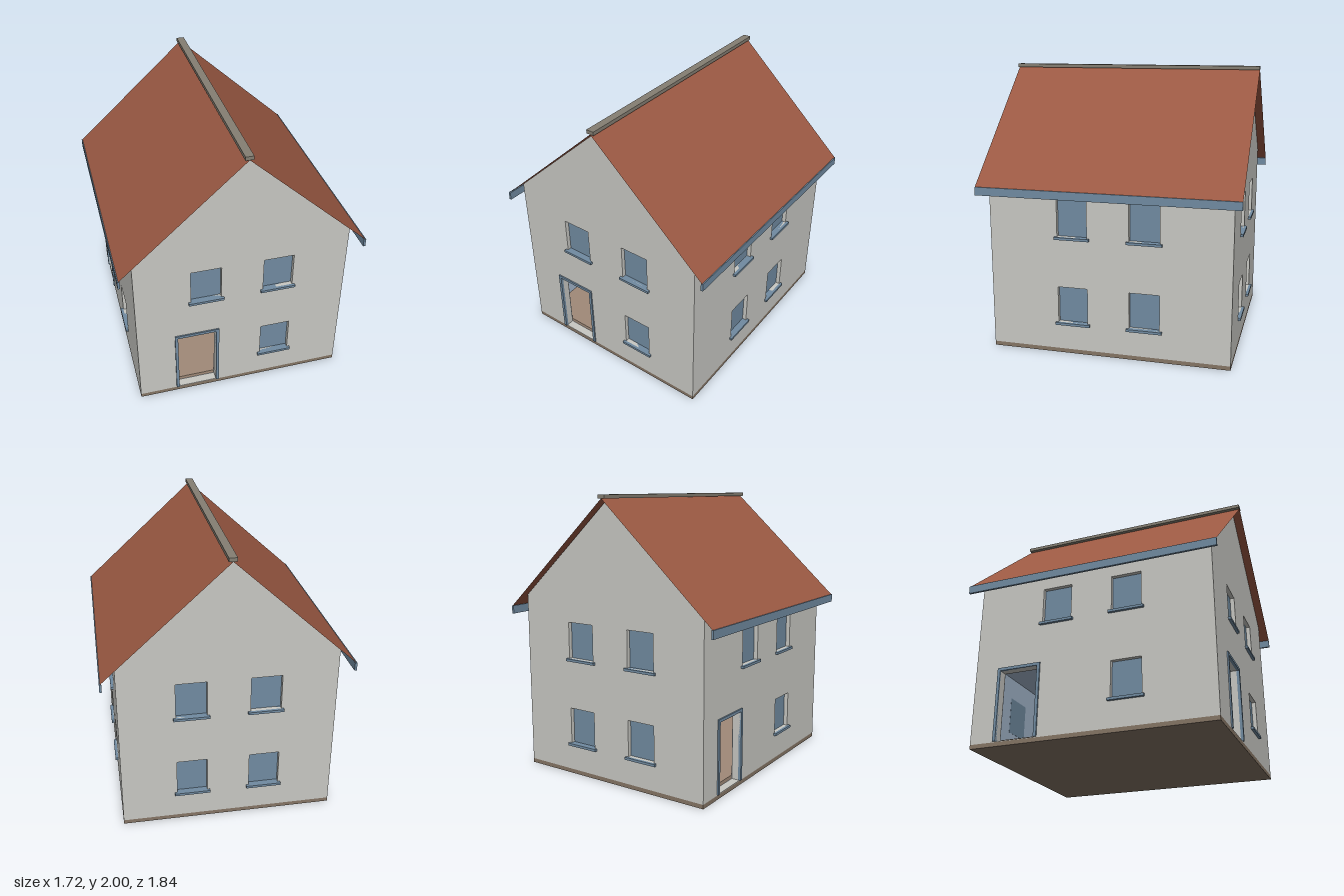
import * as THREE from 'three';

const mat = (name, color, side = THREE.FrontSide) => {
  const m = new THREE.MeshStandardMaterial({ color, side });
  m.name = name;
  return m;
};

const HALF_X = 0.755, HALF_Z = 0.86, BASE = 0.03, EAVE = 1.28, APEX = 1.965, WALL = 0.06;
const WIN = { w: 0.215, h: 0.26, rows: [0.23, 0.855] };
const DOOR = { w: 0.28, y0: 0.035, y1: 0.535 };

export function createModel() {
  const house = new THREE.Group();
  house.name = 'house';
  const plaster = mat('wall plaster', 0xc8c8c3);
  const lining = mat('interior paint', 0xa5b8ce, THREE.DoubleSide);
  const blue = mat('blue trim', 0x718ba1);
  const tile = mat('roof tile', 0x9b5943, THREE.DoubleSide);
  const ridgeMat = mat('ridge stone', 0x857f73);
  const brown = mat('base brown', 0x857565);
  const wood = mat('floor wood', 0xa08a78);

  const add = (parent, name, geo, m, x = 0, y = 0, z = 0) => {
    const mesh = new THREE.Mesh(geo, m);
    mesh.name = name;
    mesh.position.set(x, y, z);
    parent.add(mesh);
    return mesh;
  };
  // Box given by its limits on each axis
  const box = (parent, name, m, x0, x1, y0, y1, z0, z1) =>
    add(parent, name, new THREE.BoxGeometry(x1 - x0, y1 - y0, z1 - z0), m,
      (x0 + x1) / 2, (y0 + y1) / 2, (z0 + z1) / 2);
  const rectHole = (x0, x1, y0, y1) => new THREE.Path([
    [x0, y0], [x0, y1], [x1, y1], [x1, y0],
  ].map(p => new THREE.Vector2(...p)));

  // One wall facing local +z, with windows, sills and an optional door
  function wall(name, half, dist, angle, gable, windows, doorX) {
    const g = new THREE.Group();
    g.name = name;
    g.rotation.y = angle;
    house.add(g);
    const pts = [[-half, BASE], [half, BASE], [half, EAVE]];
    if (gable) pts.push([0, APEX]);
    pts.push([-half, EAVE]);
    const shape = new THREE.Shape(pts.map(p => new THREE.Vector2(...p)));

    for (const [cx, row] of windows) {
      const x0 = cx - WIN.w / 2, x1 = cx + WIN.w / 2, y0 = WIN.rows[row], y1 = y0 + WIN.h;
      shape.holes.push(rectHole(x0, x1, y0, y1));
      box(g, 'windowPane', blue, x0, x1, y0, y1, dist - WALL - 0.003, dist - 0.03);
      box(g, 'windowSill', blue, x0 - 0.018, x1 + 0.018, y0 - 0.018, y0, dist - 0.03, dist + 0.02);
    }
    if (doorX !== undefined) {
      const x0 = doorX - DOOR.w / 2, x1 = doorX + DOOR.w / 2, f = 0.021;
      shape.holes.push(rectHole(x0, x1, DOOR.y0, DOOR.y1));
      box(g, 'doorJamb', blue, x0 - f, x0, DOOR.y0, DOOR.y1, dist - 0.01, dist + 0.01);
      box(g, 'doorJamb', blue, x1, x1 + f, DOOR.y0, DOOR.y1, dist - 0.01, dist + 0.01);
      box(g, 'doorHead', blue, x0 - f, x1 + f, DOOR.y1, DOOR.y1 + f, dist - 0.01, dist + 0.01);
    }
    add(g, 'wallBody', new THREE.ExtrudeGeometry(shape, { depth: WALL, bevelEnabled: false }),
      plaster, 0, 0, dist - WALL);
    add(g, 'wallLining', new THREE.ShapeGeometry(shape), lining, 0, 0, dist - WALL - 0.002);
  }

  const C = 0.2575;
  const all = [[-C, 0], [C, 0], [-C, 1], [C, 1]];
  const sideHalf = HALF_Z - WALL;
  wall('frontWall', HALF_X, HALF_Z, 0, true, all.slice(1), -0.326);
  wall('backWall', HALF_X, HALF_Z, Math.PI, true, all);
  wall('leftWall', sideHalf, HALF_X, Math.PI / 2, false, all);
  wall('rightWall', sideHalf, HALF_X, -Math.PI / 2, false, all.slice(1), -0.525);

  // Base slab and storey floors
  const ix = HALF_X - WALL - 0.003, iz = HALF_Z - WALL - 0.003;
  box(house, 'baseSlab', brown, -HALF_X, HALF_X, 0, BASE, -HALF_Z, HALF_Z);
  box(house, 'groundFloor', wood, -ix, ix, BASE, 0.06, -iz, iz);
  box(house, 'upperFloor', lining, -ix, ix, 0.64, 0.69, -iz, iz);

  // Roof sheets, eaves boards and ridge
  const RZ = 0.92, RX = 0.852, RY = 1.197, TOP = 1.974;
  for (const s of [-1, 1]) {
    const sheet = new THREE.PlaneGeometry(Math.hypot(RX, TOP - RY), RZ * 2);
    sheet.rotateX(-Math.PI / 2);
    const roof = add(house, 'roofSheet', sheet, tile, s * RX / 2, (RY + TOP) / 2, 0);
    roof.rotation.z = -s * Math.atan2(TOP - RY, RX);
    box(house, 'eavesBoard', blue, s * 0.85 - 0.008, s * 0.85 + 0.008, 1.14, 1.198, -RZ, RZ);
  }
  box(house, 'ridgeCap', ridgeMat, -0.028, 0.028, 1.974, 2, -RZ, RZ);

  return house;
}
